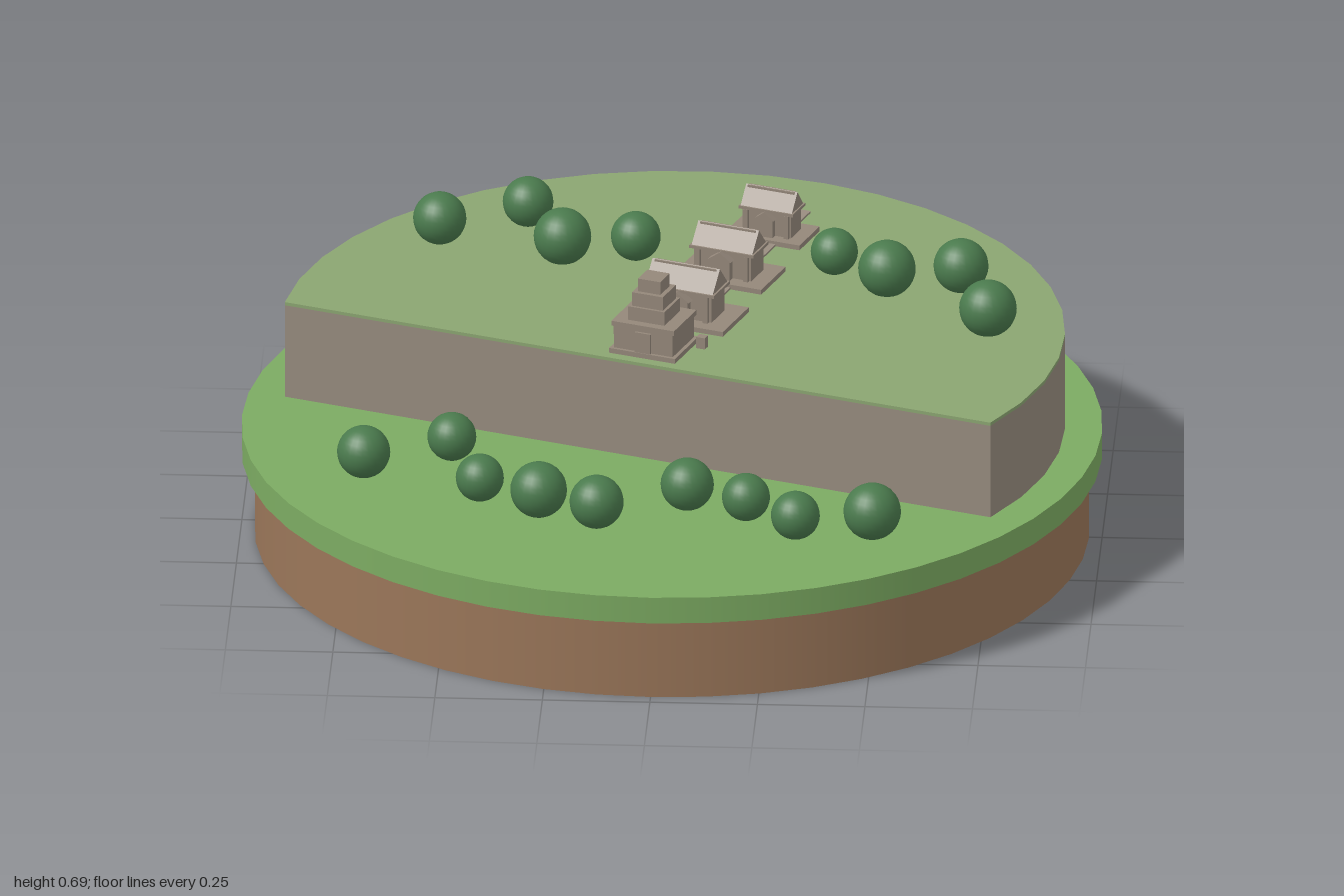
import * as THREE from 'three';

const paint = (name, color) => {
  const m = new THREE.MeshStandardMaterial({ color });
  m.name = name;
  return m;
};
const TURN = -Math.PI / 9; // the plateau and ruins are turned 20 degrees
const GROUND = 0.265, TOP = 0.505;

export function createModel() {
  const earth = paint('earth brown', 0x9a7659);
  const grass = paint('grass green', 0x7cab62);
  const upland = paint('upland green', 0x8ba571);
  const rock = paint('cliff rock', 0x978c7e);
  const stone = paint('ruin stone', 0x94877a);
  const path = paint('path stone', 0x998d80);
  const leaf = paint('tree green', 0x4a7a4d);

  const model = new THREE.Group();
  const add = (parent, name, geometry, material, x = 0, y = 0, z = 0) => {
    const mesh = new THREE.Mesh(geometry, material);
    mesh.name = name;
    mesh.position.set(x, y, z);
    parent.add(mesh);
    return mesh;
  };
  // a box placed by the centre of its underside
  const block = (parent, name, w, h, d, x, y, z, material = stone) =>
    add(parent, name, new THREE.BoxGeometry(w, h, d), material, x, y + h / 2, z);

  // round base
  add(model, 'earthBase', new THREE.CylinderGeometry(0.97, 0.97, 0.2, 48), earth, 0, 0.1, 0);
  add(model, 'grassDisc', new THREE.CylinderGeometry(1, 1, 0.065, 48), grass, 0, 0.2325, 0);

  // plateau: a circle cut by one straight cliff
  const site = new THREE.Group();
  site.name = 'plateau';
  site.rotation.y = TURN;
  model.add(site);
  const R = 0.913, a0 = -Math.asin(0.205 / R), a1 = Math.PI - a0, N = 24;
  const outline = [];
  for (let i = 0; i <= N; i++) {
    const a = a0 + ((a1 - a0) * i) / N;
    outline.push(new THREE.Vector2(R * Math.cos(a), R * Math.sin(a)));
  }
  const slab = depth => new THREE.ExtrudeGeometry(new THREE.Shape(outline), { depth, bevelEnabled: false }).rotateX(-Math.PI / 2);
  add(site, 'cliff', slab(0.497 - GROUND), rock, 0, GROUND, 0);
  add(site, 'plateauGrass', slab(TOP - 0.497), upland, 0, 0.497, 0);

  // processional path behind the gate tower
  block(site, 'path', 0.07, 0.006, 0.8, 0, TOP - 0.001, -0.343, path);

  // stepped gate tower with a marker stone on either side
  const tower = new THREE.Group();
  tower.name = 'gateTower';
  tower.position.set(0, TOP - 0.002, 0.108);
  site.add(tower);
  block(tower, 'towerPlinth', 0.166, 0.014, 0.142, 0, 0, 0);
  block(tower, 'towerBody', 0.148, 0.056, 0.126, 0, 0.014, 0);
  block(tower, 'towerCornice', 0.158, 0.012, 0.134, 0, 0.07, 0);
  block(tower, 'towerTier', 0.092, 0.034, 0.092, 0, 0.082, 0);
  block(tower, 'towerTier', 0.078, 0.034, 0.078, 0, 0.116, 0);
  block(tower, 'towerCrown', 0.056, 0.032, 0.056, 0, 0.15, 0);
  block(tower, 'towerDoorway', 0.04, 0.05, 0.008, 0, 0.014, 0.065);
  for (const s of [-1, 1]) block(tower, 'markerStone', 0.022, 0.03, 0.02, s * 0.104, 0, -0.042);

  // gabled roof, ridge along x
  const gable = (w, h, d) => {
    const s = new THREE.Shape([
      new THREE.Vector2(-d / 2, 0), new THREE.Vector2(d / 2, 0), new THREE.Vector2(0, h),
    ]);
    return new THREE.ExtrudeGeometry(s, { depth: w, bevelEnabled: false })
      .translate(0, 0, -w / 2).rotateY(Math.PI / 2);
  };

  // three halls, shrinking toward the back
  const halls = [[-0.085, 0.25, 0.155, 1], [-0.338, 0.225, 0.145, 0.95], [-0.595, 0.19, 0.12, 0.87]];
  for (const [z, w, d, k] of halls) {
    const hall = new THREE.Group();
    hall.name = 'hall';
    hall.position.set(0, TOP - 0.002, z);
    site.add(hall);
    block(hall, 'hallPlatform', w, 0.014, d, 0, 0, 0);
    block(hall, 'hallWalls', w * 0.64, 0.066 * k, d * 0.5, 0, 0.014, 0);
    const eave = 0.014 + 0.066 * k;
    block(hall, 'hallEaves', w * 0.72, 0.007, d * 0.62, 0, eave, 0);
    add(hall, 'hallRoof', gable(w * 0.68, 0.048 * k, d * 0.56), stone, 0, eave + 0.007, 0);
    block(hall, 'roofRidge', w * 0.62, 0.008, 0.01, 0, eave + 0.046 * k, 0);
    // porches front and back, with pillars along the front
    for (const s of [-1, 1]) {
      block(hall, 'hallPorch', w * 0.22, 0.05 * k, d * 0.14, 0, 0.014, s * d * 0.31);
      add(hall, 'porchRoof', gable(d * 0.16, 0.022 * k, w * 0.26), stone, 0, 0.014 + 0.05 * k, s * d * 0.31)
        .rotation.y = Math.PI / 2;
      for (const t of [-1, 1])
        block(hall, 'hallPillar', 0.012, 0.066 * k, 0.012, t * w * 0.27, 0.014, s * d * 0.27);
    }
  }

  // round trees: x, z, radius
  const crown = new THREE.SphereGeometry(1, 24, 16);
  const plant = (ground, list) => {
    for (const [x, z, r] of list)
      add(model, 'tree', crown, leaf, x, ground + 0.06, z).scale.setScalar(r);
  };
  plant(TOP - 0.003, [
    [-0.565, -0.485, 0.062], [-0.365, -0.59, 0.059], [-0.275, -0.395, 0.067], [-0.105, -0.405, 0.058],
    [0.36, -0.34, 0.055], [0.487, -0.248, 0.067], [0.658, -0.273, 0.064], [0.733, -0.032, 0.067],
  ]);
  plant(GROUND, [
    [-0.7, 0.33, 0.062], [-0.5, 0.232, 0.057], [-0.423, 0.465, 0.056], [-0.283, 0.527, 0.066],
    [-0.145, 0.59, 0.063], [0.06, 0.478, 0.062], [0.2, 0.545, 0.056], [0.32, 0.644, 0.057],
    [0.497, 0.612, 0.067],
  ]);
  return model;
}
